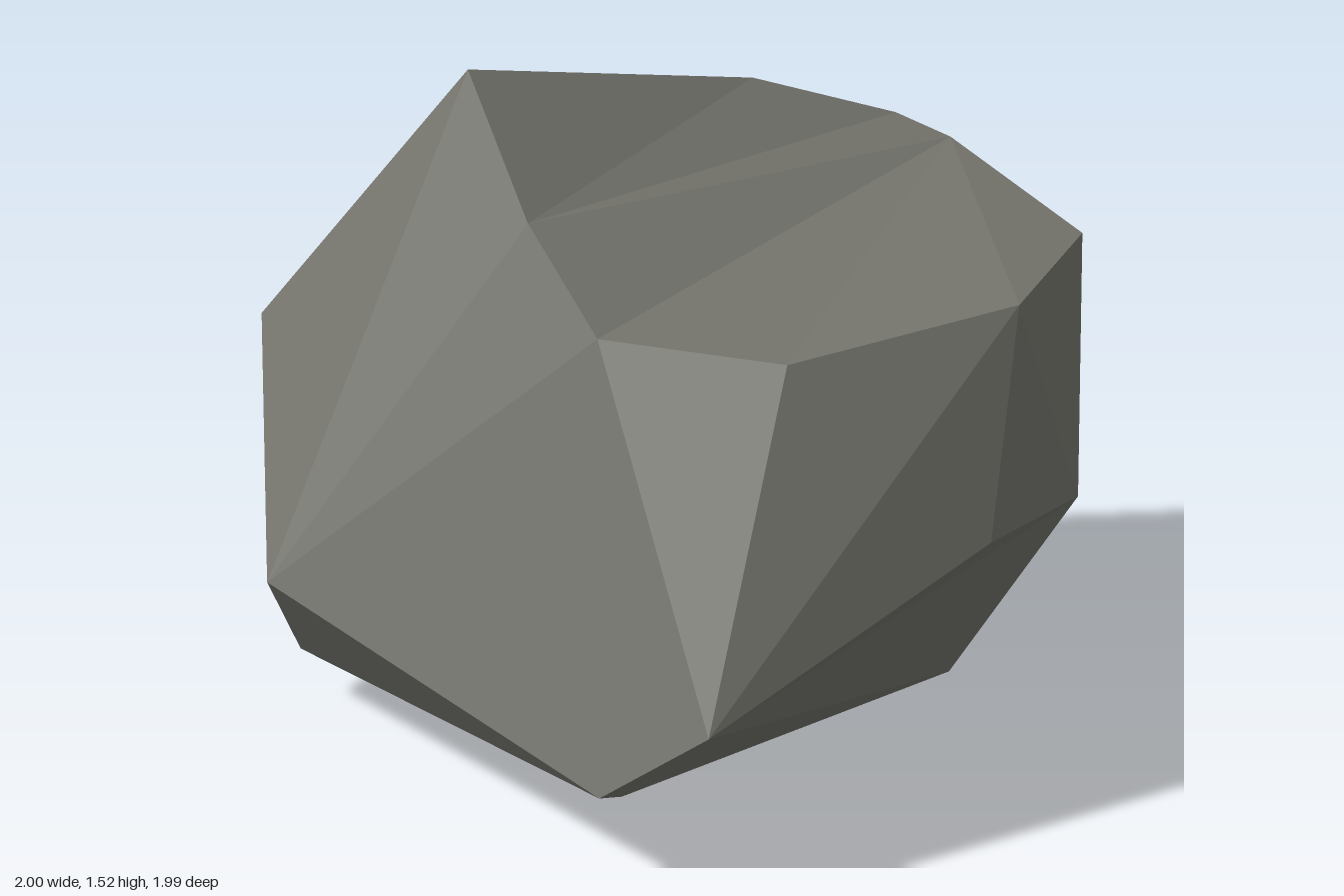
import * as THREE from 'three';

// Corner points of the boulder
const P = {
  // top rim
  peak: [-0.42, 1.52, 0.19], dip: [-0.11, 1.23, 0.43], brow: [0.2, 1.06, 0.66],
  frontTop: [0.62, 1.055, 0.64], sideTop: [0.965, 1.14, 0.28], sideBack: [0.89, 1.165, -0.36],
  backA: [0.34, 1.265, -0.94], backB: [0.16, 1.31, -0.995], backRidge: [-0.12, 1.42, -0.69],
  backLow: [-0.55, 1.27, -0.5], shoulder: [-0.8, 1.22, 0],
  // middle
  cheek: [-0.92, 0.92, 0.37], flank: [-1, 0.535, 0.29], flankBack: [-0.815, 0.58, -0.12],
  chin: [-0.585, 0.43, 0.8], toe: [0.39, 0.22, 0.99], corner: [0.62, 0.39, 0.965],
  sideMid: [0.97, 0.67, 0.4], sideOut: [1, 0.63, -0.08],
  // base
  foot: [0.21, 0, 0.59], baseSide: [0.64, 0.055, -0.28], baseBackA: [0.51, 0.075, -0.56],
  baseBackB: [0.25, 0.085, -0.68], baseRear: [-0.48, 0.1, -0.14], baseFront: [-0.73, 0.135, 0.52],
};

// Facets, each a polygon cut into a fan from its first corner
const FACETS = [
  // front
  'chin cheek peak dip brow toe', 'brow toe corner frontTop',
  'chin cheek flank', 'chin flank baseFront', 'chin baseFront toe', 'baseFront foot toe',
  // top
  'dip peak backRidge', 'dip backRidge backB', 'dip backB backA', 'dip backA brow',
  'backA brow frontTop sideTop sideBack',
  'backLow shoulder peak backRidge backB', 'peak shoulder cheek',
  // +x side
  'corner frontTop sideTop', 'corner sideTop sideMid', 'sideOut sideMid sideTop sideBack',
  'sideOut sideBack backA', 'sideOut backA baseBackA', 'sideOut baseBackA baseSide',
  'corner sideMid sideOut', 'corner sideOut baseSide', 'corner baseSide foot', 'corner foot toe',
  // back
  'backA backB baseBackB baseBackA', 'backLow backB baseBackB flankBack',
  'backLow flankBack shoulder', 'shoulder flankBack cheek', 'cheek flankBack flank',
  'flankBack baseBackB baseRear baseFront flank',
  // underside
  'baseSide baseBackA baseBackB baseRear baseFront foot',
];

function boulderGeometry() {
  const center = new THREE.Vector3(0, 0.65, 0);
  const points = [];
  for (const facet of FACETS) {
    const v = facet.split(' ').map((name) => new THREE.Vector3(...P[name]));
    for (let i = 1; i < v.length - 1; i++) {
      const [a, b, c] = [v[0], v[i], v[i + 1]];
      // wind every triangle so that it faces away from the core
      const normal = b.clone().sub(a).cross(c.clone().sub(a));
      const outward = normal.dot(a.clone().sub(center)) > 0;
      points.push(...(outward ? [a, b, c] : [a, c, b]));
    }
  }
  const geometry = new THREE.BufferGeometry().setFromPoints(points);
  geometry.computeVertexNormals();
  return geometry;
}

export function createModel() {
  const group = new THREE.Group();
  group.name = 'rock';
  const stone = new THREE.MeshStandardMaterial({ color: 0x72726b, flatShading: true });
  stone.name = 'grey stone';
  const boulder = new THREE.Mesh(boulderGeometry(), stone);
  boulder.name = 'boulder';
  group.add(boulder);
  return group;
}
